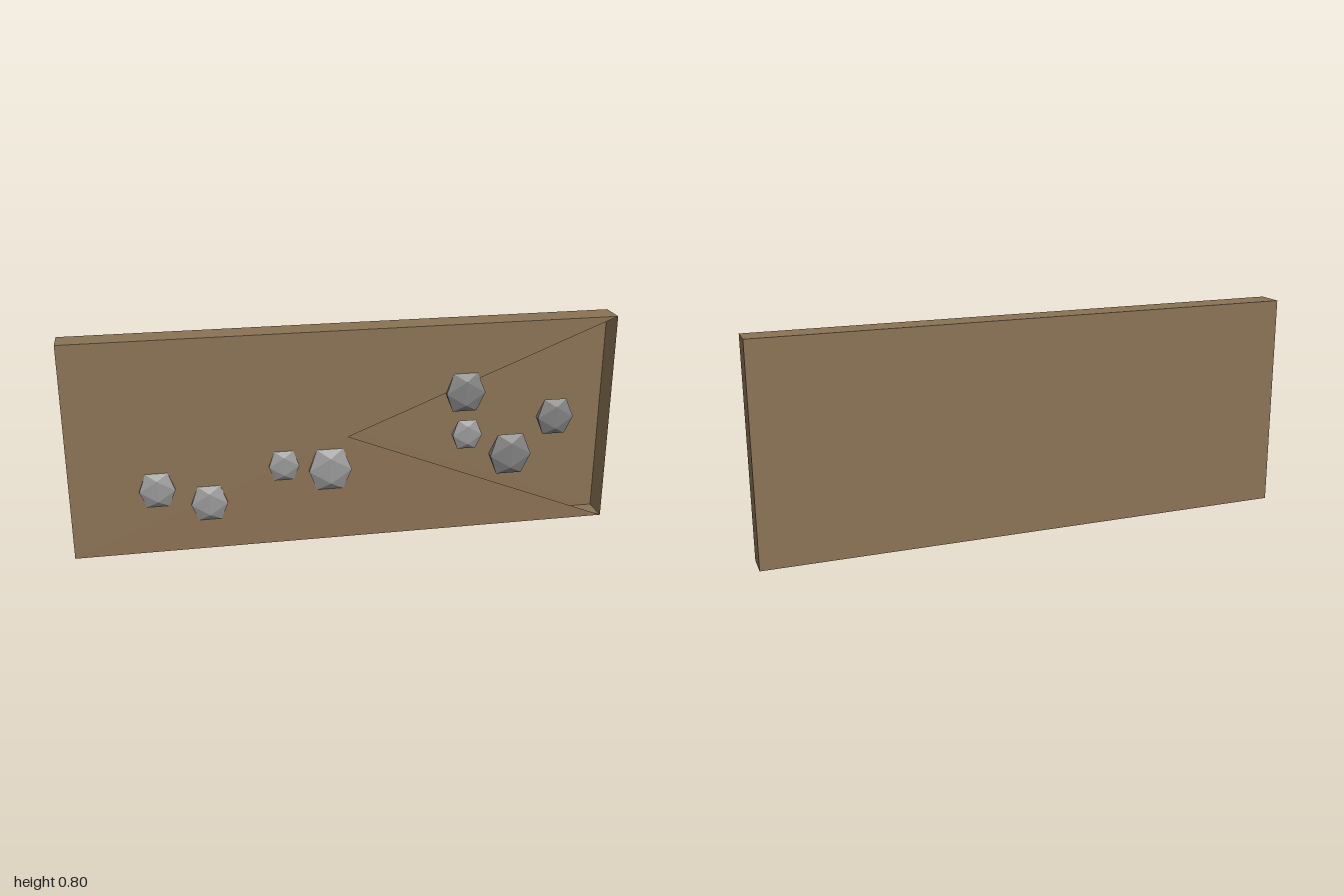
import * as THREE from 'three';

const FRONT = 0.04, BACK = -0.06, HEIGHT = 0.8;

export function createModel() {
  const model = new THREE.Group();
  model.name = 'stoneStuddedSlab';
  const earth = new THREE.MeshStandardMaterial({ color: 0x8b7355, flatShading: true, side: THREE.DoubleSide });
  const lightStone = new THREE.MeshStandardMaterial({ color: 0x999999, flatShading: true });
  const darkStone = new THREE.MeshStandardMaterial({ color: 0x808080, flatShading: true });

  // Hollow slab: a box without its front side
  const box = new THREE.BoxGeometry(2, HEIGHT, FRONT - BACK);
  const index = Array.from(box.index.array);
  index.splice(24, 6);
  box.setIndex(index);
  box.clearGroups();
  const shell = new THREE.Mesh(box, earth);
  shell.name = 'slabShell';
  shell.position.set(0, HEIGHT / 2, (FRONT + BACK) / 2);
  model.add(shell);

  // Front panel with an open triangle running from the middle to the left edge
  const outline = new THREE.Shape([[-1, 0], [1, 0], [0, HEIGHT / 2], [1, HEIGHT], [-1, HEIGHT]]
    .map(([x, y]) => new THREE.Vector2(x, y)));
  const panel = new THREE.Mesh(new THREE.ShapeGeometry(outline), earth);
  panel.name = 'frontPanel';
  panel.position.z = FRONT;
  model.add(panel);

  // Flattened stones set into the front: x, y, radius, material
  const stones = [
    [-0.693, 0.245, 0.075, lightStone],
    [-0.51, 0.18, 0.077, lightStone],
    [-0.237, 0.305, 0.065, lightStone],
    [-0.068, 0.278, 0.092, lightStone],
    [0.433, 0.543, 0.085, darkStone],
    [0.445, 0.378, 0.065, lightStone],
    [0.615, 0.288, 0.092, darkStone],
    [0.782, 0.426, 0.08, darkStone],
  ];
  const stoneShape = new THREE.IcosahedronGeometry(1, 0);
  stones.forEach(([x, y, r, material], i) => {
    const stone = new THREE.Mesh(stoneShape, material);
    stone.name = `stone${i + 1}`;
    stone.position.set(x, y, FRONT);
    stone.scale.set(r, r, r * 0.3);
    model.add(stone);
  });

  return model;
}
